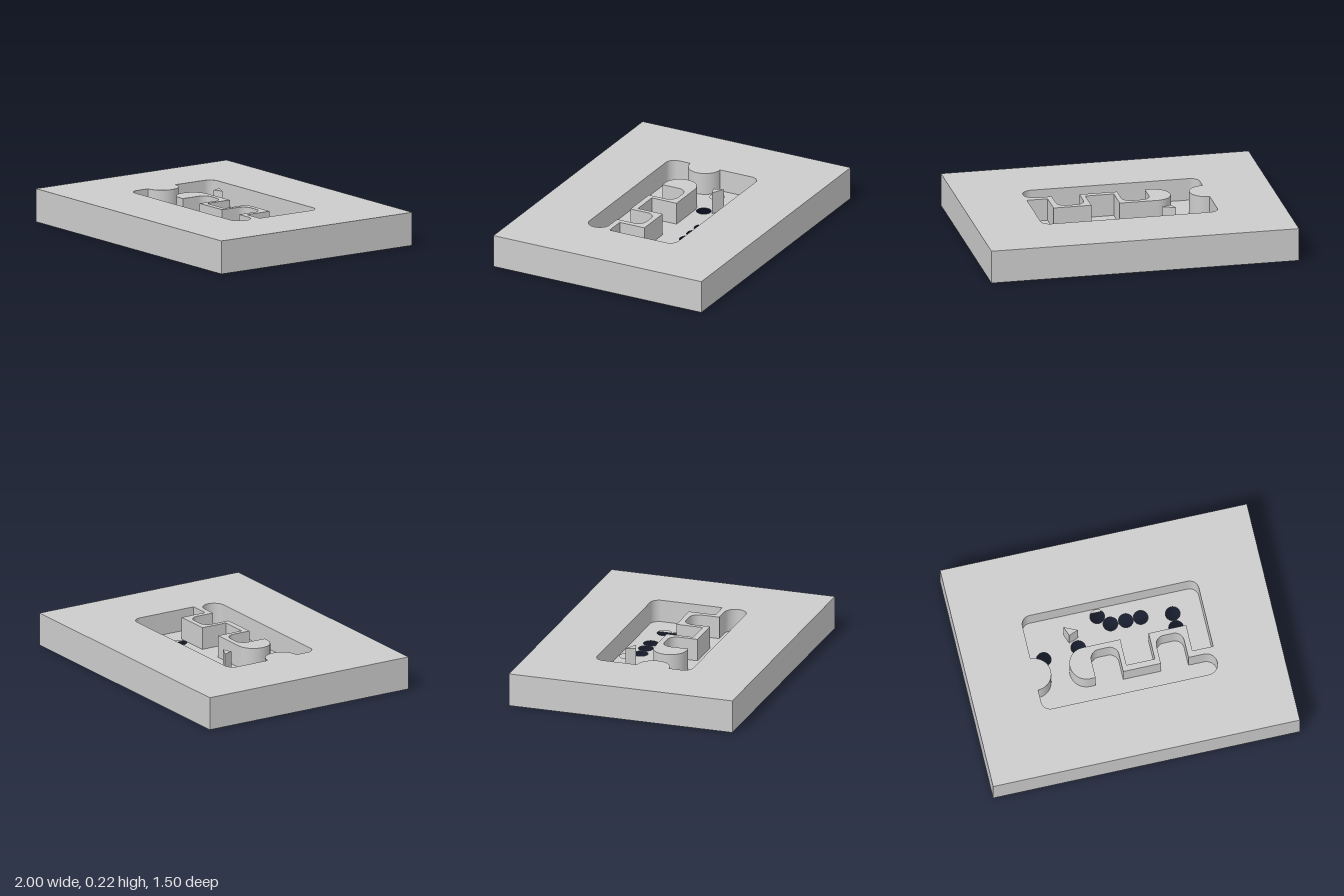
import * as THREE from 'three';
import { toCreasedNormals } from 'three/addons/utils/BufferGeometryUtils.js';

const TOP = 0.215, FLOOR = 0.07, PI = Math.PI;
const material = new THREE.MeshStandardMaterial({ color: 0xcccccc, side: THREE.DoubleSide });

// Plans are drawn in x and -z, so that up on the plan is the back.
const rectangle = (w, d) => new THREE.Shape([[-w, -d], [w, -d], [w, d], [-w, d]].map(([x, v]) => new THREE.Vector2(x, v)));

// Upright wall following a closed outline; it faces the right of its direction.
function wall(shape, y0, y1) {
  const points = shape.getPoints(16);
  const pos = [];
  points.forEach((p, i) => {
    const q = points[(i + 1) % points.length];
    if (p.distanceTo(q) < 1e-5) return;
    const a = [p.x, y0, -p.y], b = [q.x, y0, -q.y], c = [q.x, y1, -q.y], d = [p.x, y1, -p.y];
    pos.push(...a, ...b, ...c, ...a, ...c, ...d);
  });
  const geometry = new THREE.BufferGeometry();
  geometry.setAttribute('position', new THREE.Float32BufferAttribute(pos, 3));
  return toCreasedNormals(geometry, PI / 6);
}

// Horizontal sheet with openings
function sheet(outline, holes, y, faceDown = false) {
  const shape = new THREE.Shape(outline.getPoints(16));
  shape.holes.push(...holes);
  return new THREE.ShapeGeometry(shape, 16).rotateX(faceDown ? PI / 2 : -PI / 2).translate(0, y, 0);
}

// Pocket outline, with the winding ridge and the round notch reaching into it
function pocketOutline() {
  const s = new THREE.Shape();
  s.moveTo(-0.515, 0.325);
  s.lineTo(0.515, 0.325);
  s.absarc(0.515, 0.265, 0.06, PI / 2, 0, true);
  // Back edge of the ridge
  for (const [x, v] of [[0.575, -0.14], [0.44, -0.14], [0.44, 0.038], [0.195, 0.038],
    [0.195, -0.14], [0.01, -0.14], [0.01, 0.038], [-0.235, 0.038]]) s.lineTo(x, v);
  s.absarc(-0.235, -0.07, 0.108, PI / 2, 1.5 * PI, false);
  // Front edge of the ridge, with two arched bays
  for (const [x0, x1] of [[-0.2, -0.02], [0.225, 0.405]]) {
    s.lineTo(x0, -0.178);
    s.lineTo(x0, -0.057);
    s.absarc(x0 + 0.06, -0.057, 0.06, PI, PI / 2, true);
    s.absarc(x1 - 0.06, -0.057, 0.06, PI / 2, 0, true);
    s.lineTo(x1, -0.178);
  }
  s.lineTo(0.505, -0.178);
  s.absarc(0.505, -0.2495, 0.0715, PI / 2, -PI / 2, true);
  s.lineTo(-0.515, -0.321);
  s.absarc(-0.515, -0.261, 0.06, -PI / 2, -PI, true);
  s.lineTo(-0.575, -0.178);
  s.absarc(-0.575, -0.07, 0.108, -PI / 2, PI / 2, false);
  s.lineTo(-0.575, 0.265);
  s.absarc(-0.515, 0.265, 0.06, PI, PI / 2, true);
  return s;
}

export function createModel() {
  const group = new THREE.Group();
  const add = (name, geometry) => {
    const mesh = new THREE.Mesh(geometry, material);
    mesh.name = name;
    group.add(mesh);
  };

  const block = rectangle(1, 0.75);
  const pocket = pocketOutline();
  const post = new THREE.Shape([[-0.3, 0.137], [-0.238, 0.16], [-0.322, 0.2]].map(([x, v]) => new THREE.Vector2(x, v)));

  // Outer shell
  add('blockSides', wall(block, 0, TOP));
  add('blockTop', sheet(block, [new THREE.Path(pocket.getPoints(16))], TOP));
  add('blockBottom', sheet(block, [rectangle(0.575, 0.325)], 0, true));

  // Pocket
  add('pocketWalls', wall(pocket, FLOOR, TOP));
  const drillHoles = [[-0.482, 0.066], [-0.25, 0.095], [-0.086, 0.272], [-0.015, 0.205],
    [0.085, 0.205], [0.182, 0.205], [0.386, 0.184], [0.386, 0.088]]
    .map(([x, v]) => new THREE.Path().absarc(x, v, 0.047, 0, 2 * PI, false));
  add('pocketFloor', sheet(pocket, [...drillHoles, new THREE.Path(post.getPoints())], FLOOR));

  // Small triangular post, open below
  add('postSides', wall(post, FLOOR, TOP));
  add('postTop', sheet(post, [], TOP));
  return group;
}
